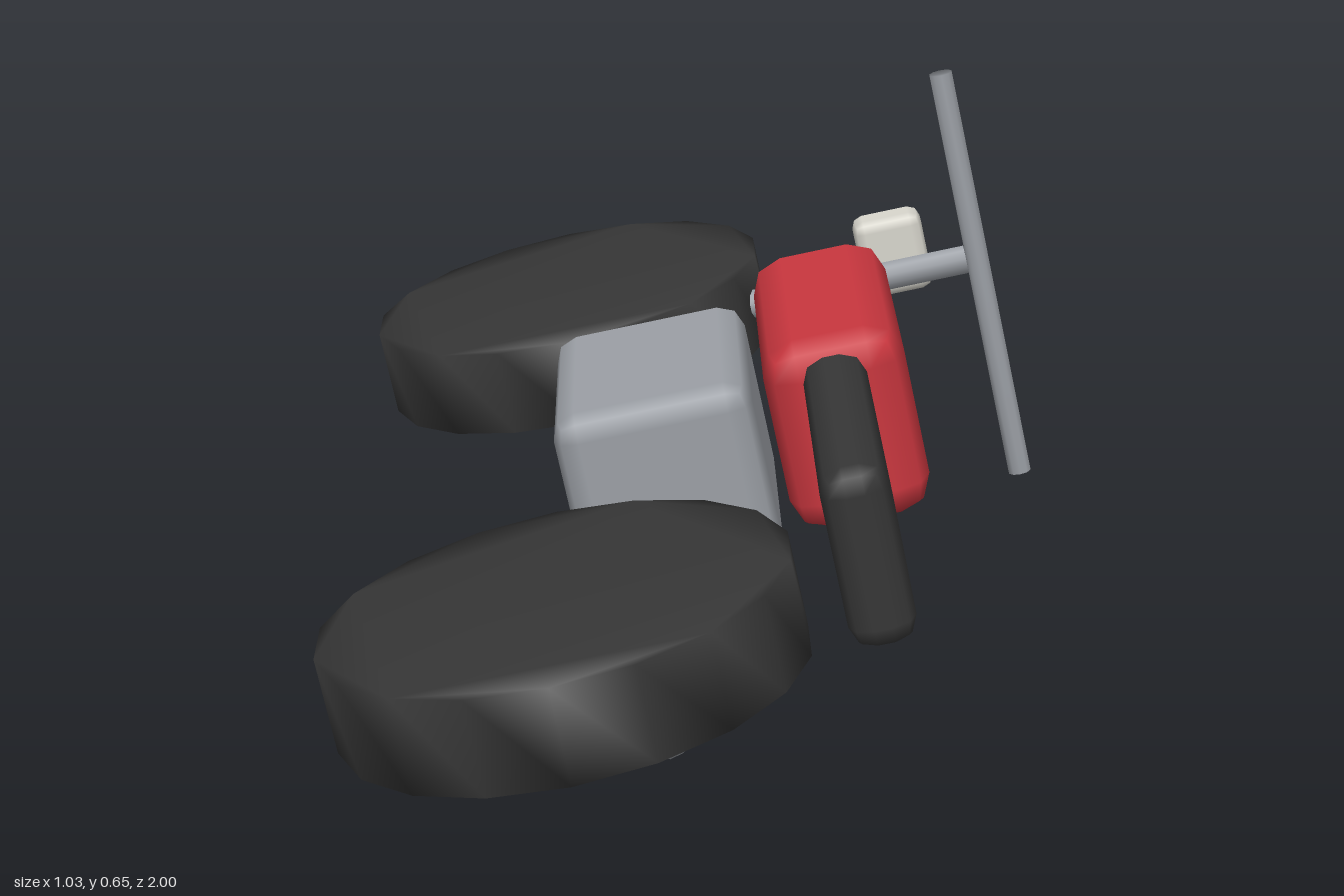
import * as THREE from 'three';
import { mergeVertices } from 'three/addons/utils/BufferGeometryUtils.js';
import { RoundedBoxGeometry } from 'three/addons/geometries/RoundedBoxGeometry.js';

const material = (name, color) => {
  const m = new THREE.MeshStandardMaterial({ color });
  m.name = name;
  return m;
};

// Prism along z whose normals are blended over rim and caps
function softCylinder(radius, length, sides) {
  const points = [];
  for (let i = 0; i < sides; i++) {
    const a = Math.PI / 2 + (i / sides) * Math.PI * 2;
    points.push(new THREE.Vector2(Math.cos(a) * radius, Math.sin(a) * radius));
  }
  const raw = new THREE.ExtrudeGeometry(new THREE.Shape(points), { depth: length, steps: 1, bevelEnabled: false });
  raw.translate(0, 0, -length / 2);
  raw.deleteAttribute('normal');
  raw.deleteAttribute('uv');
  const geometry = mergeVertices(raw, 1e-4);
  geometry.computeVertexNormals();
  return geometry;
}

export function createModel() {
  const black = material('black rubber', 0x363636);
  const red = material('red paint', 0xc8363e);
  const grey = material('grey metal', 0x9b9fa5);
  const white = material('lamp white', 0xd8d6cd);

  const model = new THREE.Group();
  model.name = 'fallenMotorbike';

  // The bike lies on its side: local x is its upward direction, y its width
  const bike = new THREE.Group();
  bike.name = 'bike';
  bike.position.set(-0.203, 0.198, 0);
  bike.rotation.z = THREE.MathUtils.degToRad(12);
  model.add(bike);

  const add = (name, geometry, mat, x, y, z) => {
    const mesh = new THREE.Mesh(geometry, mat);
    mesh.name = name;
    mesh.position.set(x, y, z);
    bike.add(mesh);
  };
  const box = (w, h, d, r) => new RoundedBoxGeometry(w, h, d, 1, r);

  // Wheels
  for (const [name, z] of [['frontWheel', -0.69], ['rearWheel', 0.69]]) {
    add(name, softCylinder(0.31, 0.13, 18).rotateX(Math.PI / 2), black, 0, 0, z);
  }

  // Body
  add('engine', box(0.28, 0.28, 0.425, 0.035), grey, 0.142, -0.002, 0.021);
  add('fuelTank', box(0.202, 0.284, 0.515, 0.05), red, 0.4, 0, -0.121);
  add('seat', box(0.09, 0.25, 0.53, 0.033), black, 0.399, 0, 0.375);

  // Tubes
  add('exhaust', softCylinder(0.037, 0.565, 12), grey, 0.094, -0.171, 0.358);
  add('fork', softCylinder(0.023, 0.56, 10).rotateY(Math.PI / 2), grey, 0.35, 0, -0.597);
  add('handlebar', softCylinder(0.018, 0.657, 10).rotateX(Math.PI / 2), grey, 0.645, 0, -0.497);

  // Headlamp
  add('headlamp', box(0.11, 0.128, 0.072, 0.018), white, 0.52, 0.002, -0.717);

  return model;
}
